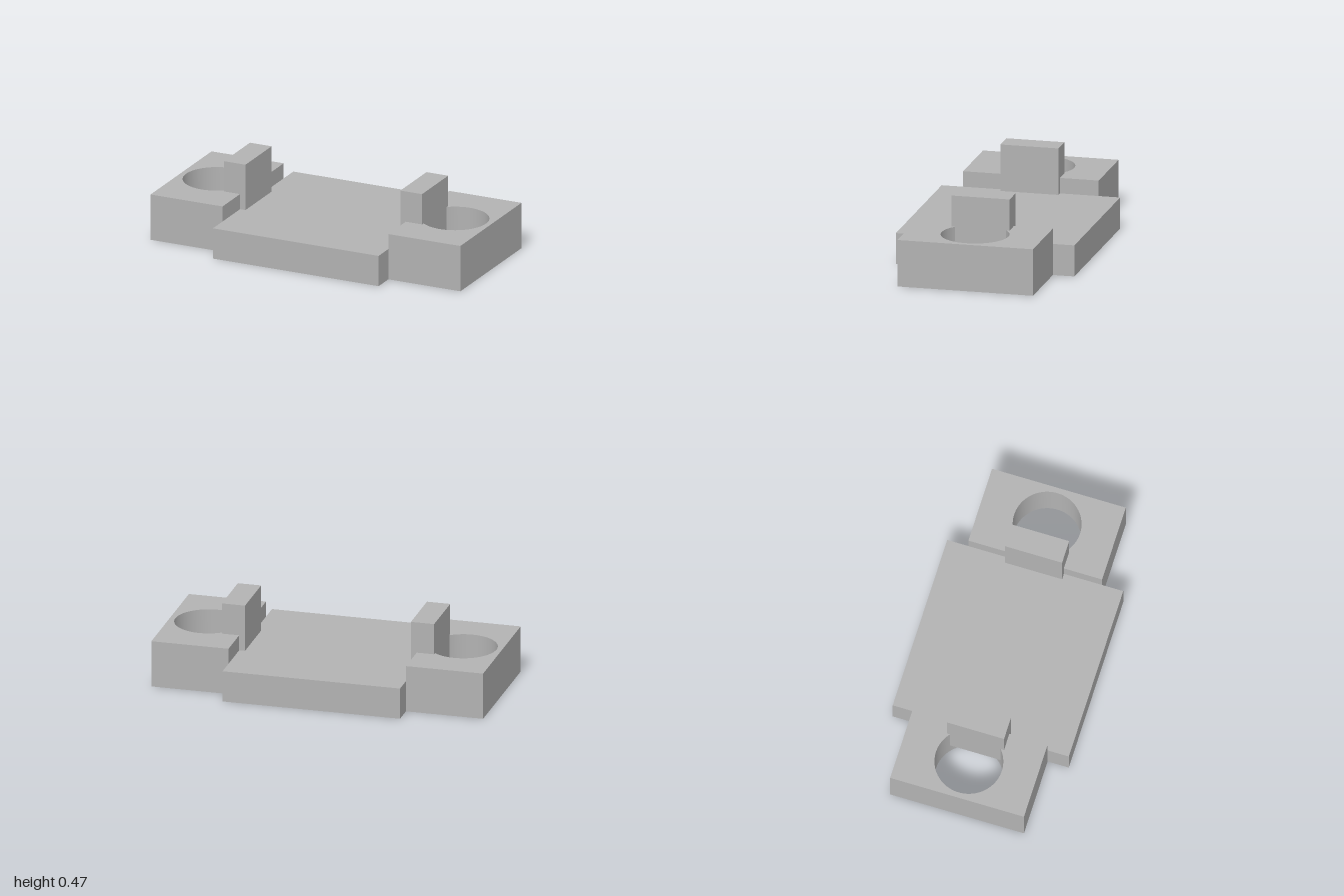
import * as THREE from 'three';
import { toCreasedNormals } from 'three/addons/utils/BufferGeometryUtils.js';

const grey = new THREE.MeshStandardMaterial({ color: 0xb2b2b2 });
grey.name = 'plain grey';

function part(name, geometry, x, y, z) {
  const mesh = new THREE.Mesh(geometry, grey);
  mesh.name = name;
  mesh.position.set(x, y, z);
  return mesh;
}

// Mounting block with a round through hole, lying flat with its base on y = 0
function blockGeometry(width, depth, height, holeX, holeRadius) {
  const w = width / 2, d = depth / 2;
  const shape = new THREE.Shape();
  shape.moveTo(-w, -d).lineTo(w, -d).lineTo(w, d).lineTo(-w, d).closePath();
  const hole = new THREE.Path();
  hole.absarc(holeX, 0, holeRadius, 0, Math.PI * 2, true);
  shape.holes.push(hole);
  const geometry = new THREE.ExtrudeGeometry(shape, { depth: height, bevelEnabled: false, curveSegments: 48 });
  geometry.rotateX(-Math.PI / 2);
  return toCreasedNormals(geometry, Math.PI / 6);
}

export function createModel() {
  const model = new THREE.Group();
  model.name = 'mountingBracket';

  // Square centre plate
  const half = 0.535, plateHeight = 0.187;
  model.add(part('basePlate', new THREE.BoxGeometry(half * 2, plateHeight, half * 2), 0, plateHeight / 2, 0));

  for (const [side, s] of [['left', 1], ['right', -1]]) {
    // End block with its screw hole
    const width = 1 - half, centre = half + width / 2;
    const block = blockGeometry(width, 0.813, 0.28, s * (0.768 - centre), 0.2);
    model.add(part(side + 'EndBlock', block, s * centre, 0, 0));

    // Upright tab, sunk halfway into the block and partly over the hole
    model.add(part(side + 'Tab', new THREE.BoxGeometry(0.14, 0.374, 0.348), s * 0.57, 0.28, 0));
  }
  return model;
}
